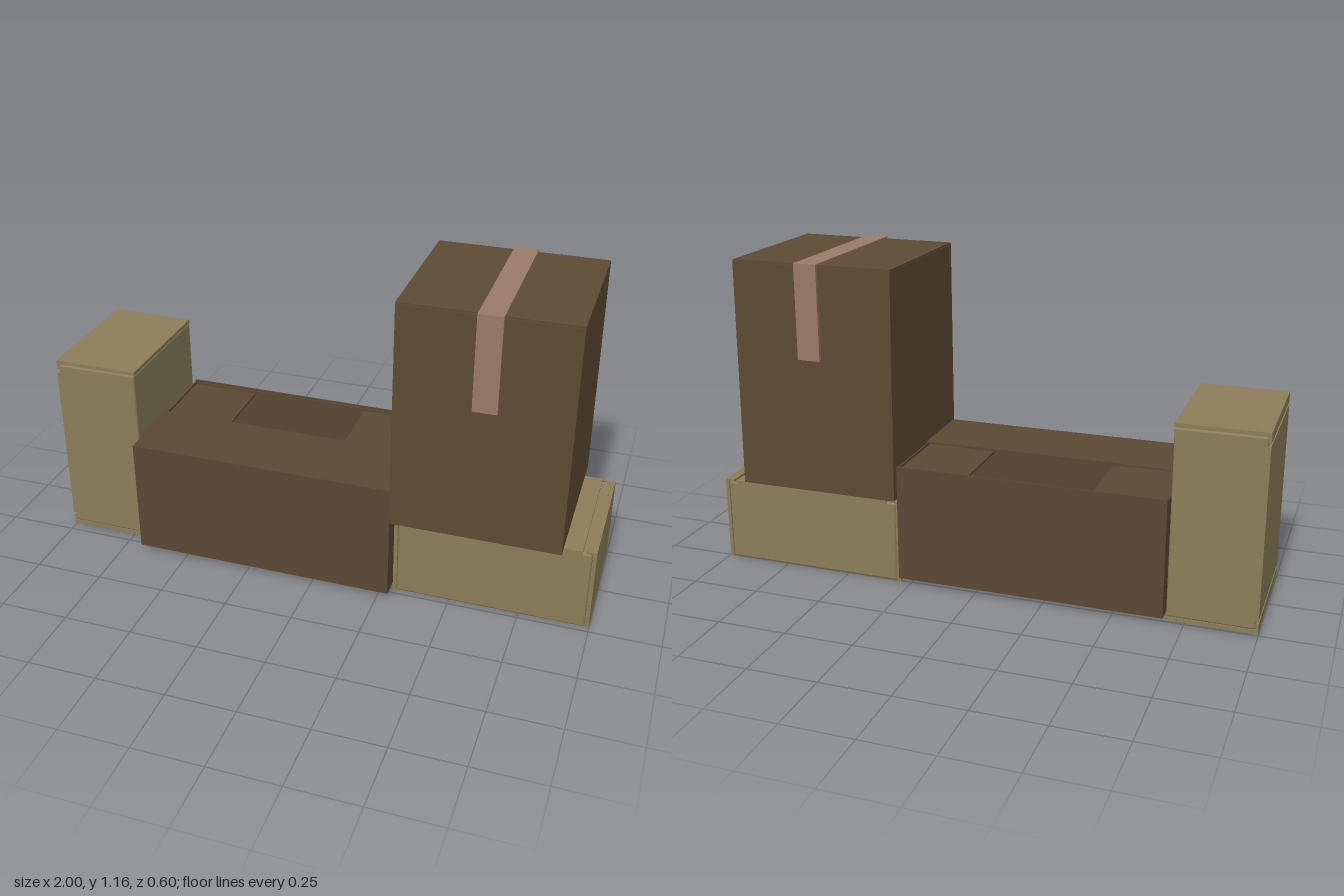
import * as THREE from 'three';
import { RoundedBoxGeometry } from 'three/addons/geometries/RoundedBoxGeometry.js';

const tan = new THREE.MeshStandardMaterial({ color: 0x8c7d5a });
const brown = new THREE.MeshStandardMaterial({ color: 0x5c4a33 });
const darkBrown = new THREE.MeshStandardMaterial({ color: 0x594833 });
const tapeColor = new THREE.MeshStandardMaterial({ color: 0x997a66 });

// Box given by its min and max corners
function slab(parent, name, mat, [x0, y0, z0], [x1, y1, z1], radius = 0) {
  const w = x1 - x0, h = y1 - y0, d = z1 - z0;
  const geo = radius ? new RoundedBoxGeometry(w, h, d, 2, radius) : new THREE.BoxGeometry(w, h, d);
  const mesh = new THREE.Mesh(geo, mat);
  mesh.position.set((x0 + x1) / 2, (y0 + y1) / 2, (z0 + z1) / 2);
  mesh.name = name;
  parent.add(mesh);
  return mesh;
}

// Narrow closed carton, centred on its own origin, standing upright
function narrowCarton(name) {
  const g = new THREE.Group();
  g.name = name;
  slab(g, 'cartonBody', tan, [-0.147, -0.338, -0.243], [0.155, 0.338, 0.243], 0.008);
  slab(g, 'sidePanel', tan, [-0.156, -0.305, -0.243], [-0.14, 0.305, 0.243]);
  for (const s of [-1, 1]) {
    // End flap, with the tuck flap turned over the side
    slab(g, 'endFlap', tan, [-0.156, s * 0.346 - 0.007, -0.24], [0.156, s * 0.346 + 0.007, 0.24]);
    slab(g, 'tuckFlap', tan, [-0.156, s * 0.332 - 0.015, -0.238], [-0.146, s * 0.332 + 0.015, 0.238]);
  }
  return g;
}

// Long carton lying open along its back half
function openCarton() {
  const g = new THREE.Group();
  g.name = 'openCarton';
  const x0 = -0.68, x1 = 0.29, y0 = 0.025, y1 = 0.45, z0 = -0.272, z1 = 0.29, t = 0.006;
  slab(g, 'floor', darkBrown, [x0, y0, z0], [x1, y0 + t, z1]);
  slab(g, 'frontWall', darkBrown, [x0, y0, z1 - t], [x1, y1, z1]);
  slab(g, 'backWall', darkBrown, [x0, y0, z0], [x1, y1 + 0.005, z0 + t]);
  slab(g, 'rightWall', darkBrown, [x0, y0, z0], [x0 + t, y1, z1]);
  slab(g, 'leftWall', darkBrown, [x1 - t, y0, z0], [x1, y1, z1]);
  // Front flap closed over the two end flaps, back flap tucked inside
  slab(g, 'frontFlap', darkBrown, [x0, y1, 0.01], [x1, y1 + 0.008, z1]);
  slab(g, 'rightEndFlap', darkBrown, [x0 + t, 0.435, z0 + 0.016], [-0.42, 0.442, z1 - t]);
  slab(g, 'leftEndFlap', darkBrown, [0.03, 0.435, z0 + 0.016], [x1 - t, 0.442, z1 - t]);
  slab(g, 'tuckedBackFlap', darkBrown, [x0 + 0.02, 0.19, z0 + 0.01], [x1 - 0.03, 0.45, z0 + 0.015]);
  return g;
}

// Tall carton, slightly wider in depth at the base, with a taped lid
function tallCarton() {
  const g = new THREE.Group();
  g.name = 'tallCarton';
  const body = slab(g, 'tallBody', brown, [0.29, 0.333, -0.298], [0.888, 1.152, 0.298]);
  const p = body.geometry.attributes.position;
  for (let i = 0; i < p.count; i++) {
    if (p.getY(i) > 0) p.setZ(i, p.getZ(i) * 0.952);
  }
  body.geometry.computeVertexNormals();
  // Two lid flaps meeting under the tape
  slab(g, 'rightLidFlap', brown, [0.29, 1.153, -0.281], [0.588, 1.159, 0.281]);
  slab(g, 'leftLidFlap', brown, [0.59, 1.153, -0.281], [0.888, 1.159, 0.281]);
  // Tape over the lid and down the front and back
  const tape = new THREE.Group();
  tape.name = 'tape';
  slab(tape, 'tapeTop', tapeColor, [0.557, 1.157, -0.301], [0.641, 1.164, 0.301]);
  for (const s of [-1, 1]) {
    slab(tape, s > 0 ? 'tapeFront' : 'tapeBack', tapeColor,
      [0.557, 0.822, s * 0.295 - 0.006], [0.641, 1.16, s * 0.295 + 0.006]);
  }
  g.add(tape);
  return g;
}

export function createModel() {
  const model = new THREE.Group();
  model.name = 'cardboardBoxes';

  const upright = narrowCarton('uprightCarton');
  upright.position.set(-0.844, 0.368, -0.02);

  // Same carton laid on its side
  const lying = narrowCarton('lyingCarton');
  lying.rotation.z = -Math.PI / 2;
  lying.position.set(0.645, 0.16, -0.013);

  model.add(upright, lying, openCarton(), tallCarton());
  return model;
}
